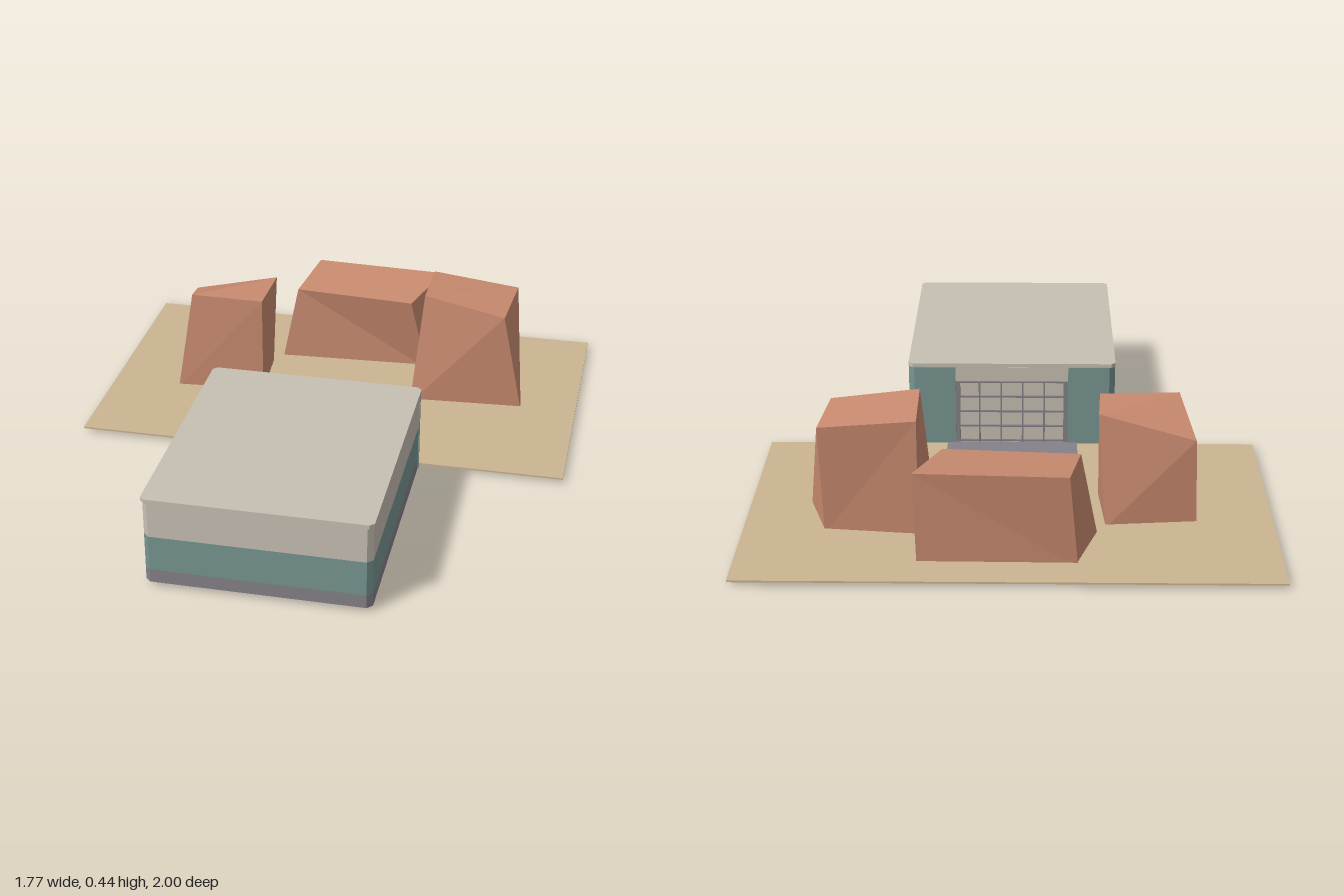
import * as THREE from 'three';

const mat = (name, color) => Object.assign(new THREE.MeshStandardMaterial({ color }), { name });

export function createModel() {
  const model = new THREE.Group();
  model.name = 'desertBuilding';
  const sand = mat('sand', 0xcbb592);
  const grey = mat('grey', 0x848188);
  const teal = mat('teal', 0x779591);
  const beige = mat('beige', 0xc7bfb3);
  const rockMat = mat('rock', 0xc98b70);
  rockMat.flatShading = true;

  const add = (name, geo, material, parent = model) => {
    const mesh = new THREE.Mesh(geo, material);
    mesh.name = name;
    parent.add(mesh);
    return mesh;
  };
  // Box given by its limits on each axis
  const box = (name, x0, x1, y0, y1, z0, z1, material, parent) =>
    add(name, new THREE.BoxGeometry(x1 - x0, y1 - y0, z1 - z0)
      .translate((x0 + x1) / 2, (y0 + y1) / 2, (z0 + z1) / 2), material, parent);
  // Upright prism from a plan outline of [x, z] points
  const prism = (name, plan, y0, y1, material, parent) => {
    const shape = new THREE.Shape(plan.map(([x, z]) => new THREE.Vector2(x, -z)));
    const geo = new THREE.ExtrudeGeometry(shape, { depth: y1 - y0, bevelEnabled: false });
    return add(name, geo.rotateX(-Math.PI / 2).translate(0, y0, 0), material, parent);
  };

  // Ground and path
  box('ground', -0.887, 0.887, 0.016, 0.022, -1, 0.08, sand);
  box('path', -0.24, 0.236, 0.02, 0.025, -0.33, 0.085, grey);

  // Building with cut corners, in coloured bands
  const building = new THREE.Group();
  building.name = 'building';
  model.add(building);
  const plan = (w, z0, z1, c) => [
    [-w + c, z1], [w - c, z1], [w, z1 - c], [w, z0 + c],
    [w - c, z0], [-w + c, z0], [-w, z0 + c], [-w, z1 - c]];
  const footprint = plan(0.373, 0.1, 0.995, 0.018);
  prism('base', footprint, 0.02, 0.068, grey, building);
  prism('tealBand', footprint, 0.068, 0.192, teal, building);
  prism('upperWall', footprint, 0.192, 0.318, beige, building);
  prism('roof', plan(0.377, 0.088, 1, 0.015), 0.318, 0.333, beige, building);

  // Back wall: corner panels, lintel and gate
  for (const s of [-1, 1]) {
    const outline = [[0.205, 0.115], [0.376, 0.115], [0.376, 0.105], [0.355, 0.082], [0.205, 0.082]]
      .map(([x, z]) => [s * x, z]);
    prism('cornerPanel', outline, 0.02, 0.32, teal, building);
  }
  box('lintel', -0.205, 0.205, 0.265, 0.32, 0.087, 0.11, beige, building);
  box('gatePanel', -0.205, 0.205, 0.02, 0.265, 0.097, 0.11, beige, building);
  for (let i = 0; i <= 5; i++) {
    const x = -0.197 + i * 0.0788, w = i % 5 ? 0.003 : 0.008;
    box('gateUpright', x - w, x + w, 0.022, 0.262, 0.088, 0.1, grey, building);
  }
  for (let i = 0; i <= 4; i++) {
    const y = 0.028 + i * 0.058;
    box('gateRail', -0.2, 0.2, y - 0.003, y + 0.003, 0.09, 0.1, grey, building);
  }

  // Rocks: corners run front left, front right, back right, back left
  const rock = (name, bottom, top, flipped = []) => {
    const tris = [];
    const quad = (a, b, c, d, flip) => flip
      ? tris.push(a, b, c, a, c, d) : tris.push(a, b, d, b, c, d);
    for (let i = 0; i < 4; i++) {
      const j = (i + 1) % 4;
      quad(top[i], bottom[i], bottom[j], top[j], flipped.includes(i));
    }
    quad(top[3], top[0], top[1], top[2]);
    quad(bottom[0], bottom[3], bottom[2], bottom[1]);
    const geo = new THREE.BufferGeometry();
    geo.setAttribute('position', new THREE.Float32BufferAttribute(tris.flat(), 3));
    geo.computeVertexNormals();
    add(name, geo, rockMat);
  };
  rock('leftRock',
    [[-0.635, 0.01, -0.32], [-0.305, 0.01, -0.345], [-0.322, 0.01, -0.59], [-0.63, 0.01, -0.56]],
    [[-0.575, 0.4, -0.34], [-0.305, 0.395, -0.345], [-0.295, 0.405, -0.548], [-0.618, 0.32, -0.568]]);
  rock('backRock',
    [[-0.295, 0.005, -0.643], [0.28, 0.005, -0.675], [0.295, 0.005, -0.86], [-0.225, 0.005, -0.865]],
    [[-0.235, 0.31, -0.655], [0.22, 0.31, -0.62], [0.305, 0.335, -0.87], [-0.195, 0.335, -0.893]],
    [0, 2]);
  rock('rightRock',
    [[0.26, 0.003, -0.388], [0.682, 0.003, -0.415], [0.615, 0.003, -0.63], [0.3, 0.003, -0.665]],
    [[0.302, 0.443, -0.425], [0.605, 0.395, -0.395], [0.625, 0.4, -0.66], [0.3, 0.43, -0.675]]);

  return model;
}
